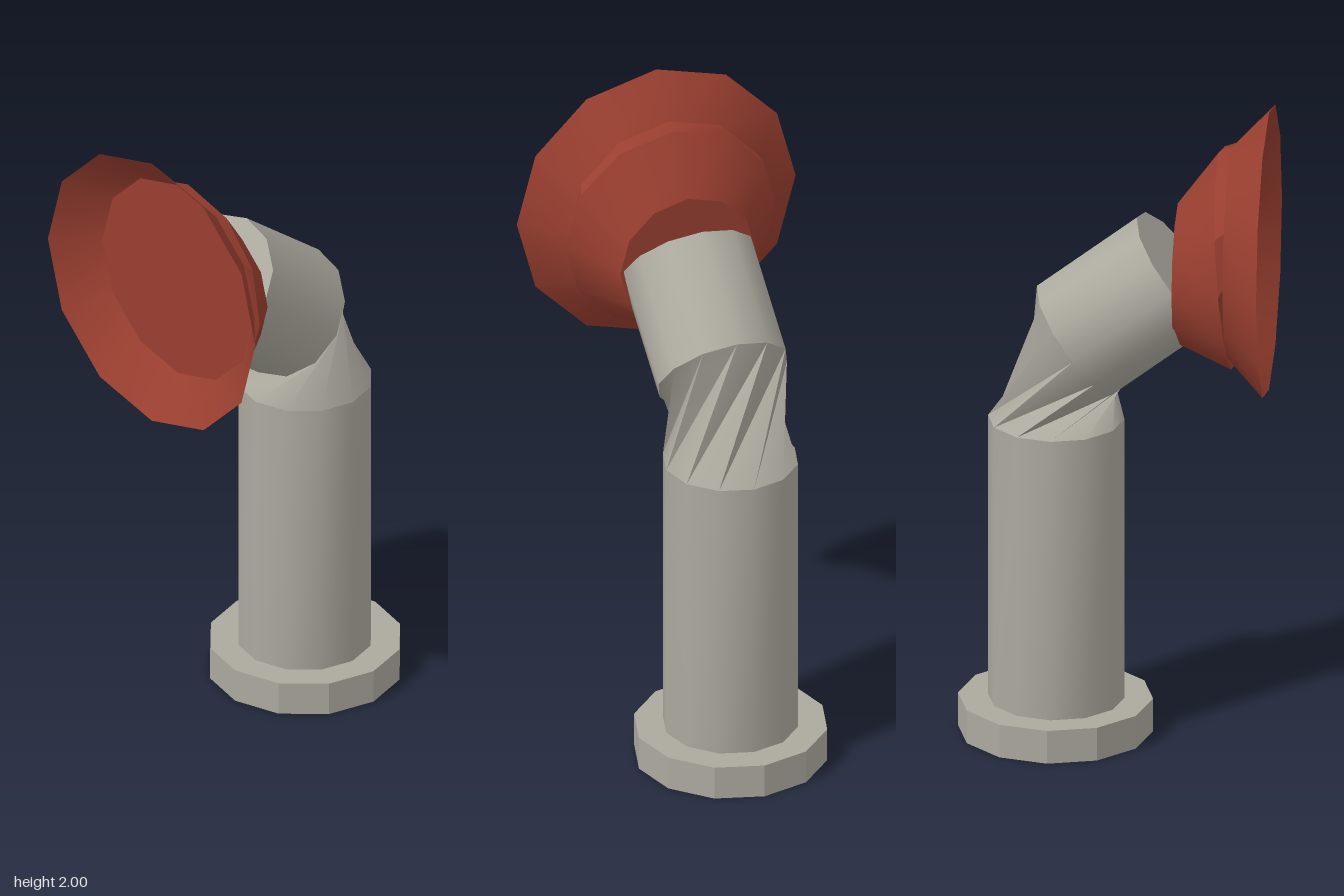
import * as THREE from 'three';
import { toCreasedNormals } from 'three/addons/utils/BufferGeometryUtils.js';

const SIDES = 12;
const V = (x, y, z) => new THREE.Vector3(x, y, z);

// Closed ring of points around a centre, turning from e1 towards e2
function ring(centre, e1, e2, turn = 0) {
  return Array.from({ length: SIDES }, (_, i) => {
    const a = (i / SIDES) * Math.PI * 2 + turn;
    return centre.clone().addScaledVector(e1, Math.cos(a)).addScaledVector(e2, Math.sin(a));
  });
}

// Skin over successive rings, with optional flat caps at start and end
function loft(rings, capStart, capEnd) {
  const pos = [];
  const tri = (...pts) => pts.forEach((p) => pos.push(p.x, p.y, p.z));
  for (let k = 0; k < rings.length - 1; k++) {
    const lo = rings[k], hi = rings[k + 1];
    for (let i = 0; i < SIDES; i++) {
      const j = (i + 1) % SIDES;
      tri(lo[i], lo[j], hi[j]);
      tri(lo[i], hi[j], hi[i]);
    }
  }
  const first = rings[0], last = rings[rings.length - 1];
  for (let i = 1; i < SIDES - 1; i++) {
    if (capStart) tri(first[0], first[i + 1], first[i]);
    if (capEnd) tri(last[0], last[i], last[i + 1]);
  }
  const geo = new THREE.BufferGeometry();
  geo.setAttribute('position', new THREE.Float32BufferAttribute(pos, 3));
  return toCreasedNormals(geo, 0.6);
}

export function createModel() {
  const group = new THREE.Group();
  const grey = new THREE.MeshStandardMaterial({ color: 0xaca99e });
  grey.name = 'warm grey metal';
  const red = new THREE.MeshStandardMaterial({ color: 0x983e2f, side: THREE.DoubleSide });
  red.name = 'rust red paint';

  const add = (name, geo, mat) => {
    const mesh = new THREE.Mesh(geo, mat);
    mesh.name = name;
    group.add(mesh);
  };

  // Faceted foot flange
  const pipeZ = -0.172;
  const flange = new THREE.CylinderGeometry(0.293, 0.293, 0.105, SIDES);
  flange.translate(0, 0.0525, -0.174);
  add('baseFlange', toCreasedNormals(flange, 0.3), grey);

  // Upright pipe, twisted joint and sloping neck
  const r = 0.205;
  const side = V(r, 0, 0), forward = V(0, 0, r);
  const neckFront = V(0, -0.79 * r, 0.61 * r);
  const pipeTop = ring(V(0, 1.0, pipeZ), forward, side);
  const neckAt = (y, z) => ring(V(0, y, z), neckFront, side, Math.PI / 3);
  const neckStart = neckAt(1.258, -0.105);
  add('uprightPipe', loft([ring(V(0, 0.1, pipeZ), forward, side), pipeTop]), grey);
  add('twistedElbow', loft([pipeTop, neckStart]), grey);
  add('slopingNeck', loft([neckStart, neckAt(1.488, 0.195)], false, true), grey);

  // Horn: rear cone, tilted step and flared mouth
  const hornRing = (y, z, rad, tilt = 0) =>
    ring(V(0, y, z), V(rad, 0, 0), V(0, rad, -tilt));
  const throat = hornRing(1.555, 0.355, 0.325);
  const step = hornRing(1.529, 0.343, 0.337, 0.028);
  add('hornRear', loft([hornRing(1.483, 0.193, 0.216), step], true), red);
  add('hornStep', loft([step, throat]), red);
  add('hornMouth', loft([throat, hornRing(1.555, 0.467, 0.445)]), red);

  // Flat disc closing the throat
  const disc = new THREE.CircleGeometry(0.325, SIDES);
  disc.translate(0, 1.555, 0.356);
  add('throatDisc', disc, red);

  return group;
}
